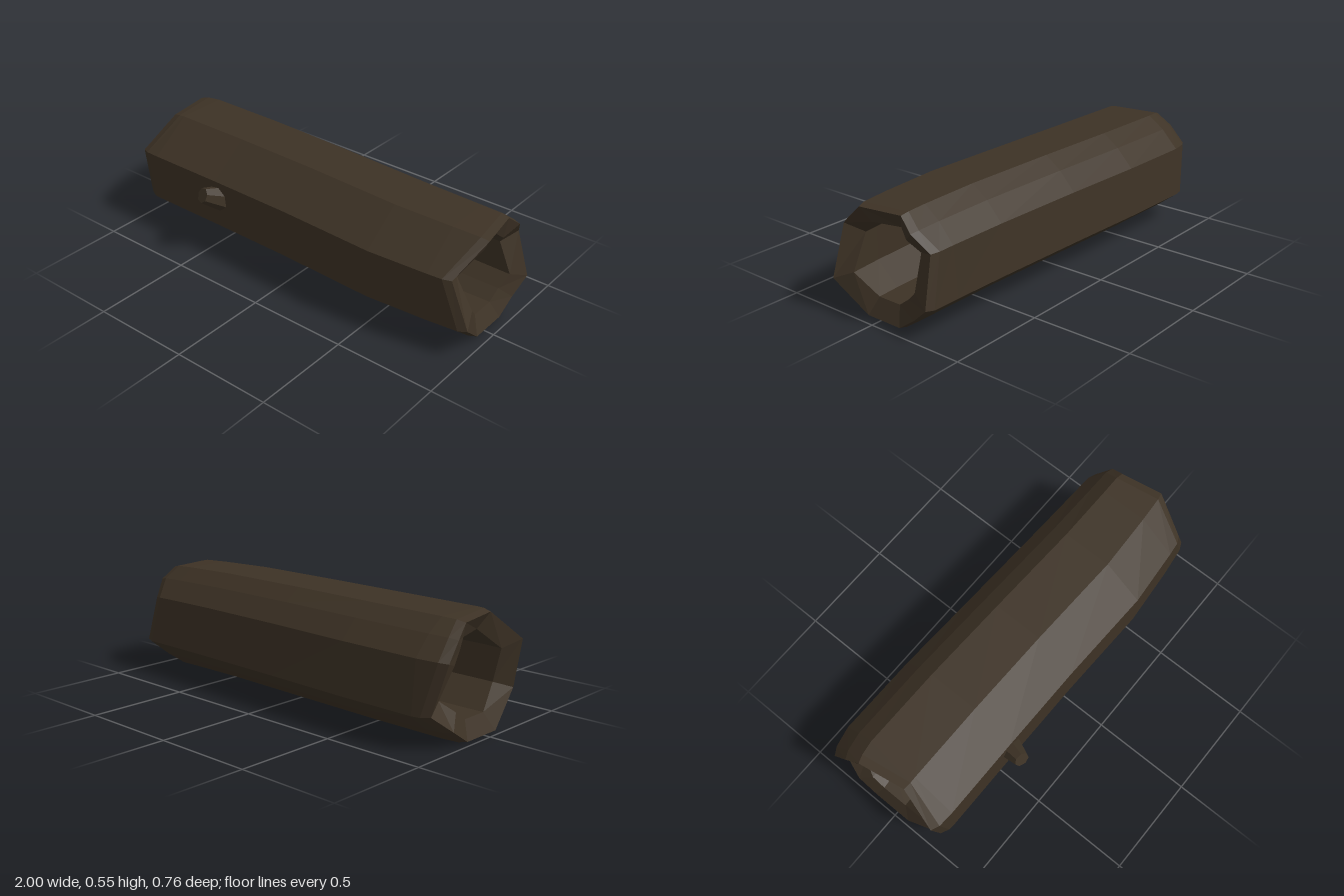
import * as THREE from 'three';

// Cross-section corners: u = across (front +1, back -1), y = height,
// left / right = where the broken ends stop at that corner.
const CORNERS = [
  { u: 0.38, y: 0.55, left: -0.93, right: 0.975 },
  { u: 1.0, y: 0.4, left: -0.98, right: 0.91 },
  { u: 1.0, y: 0.155, left: -0.94, right: 1.0 },
  { u: 0.37, y: 0.0, left: -0.98, right: 0.955 },
  { u: -0.33, y: 0.0, left: -0.98, right: 0.955 },
  { u: -0.67, y: 0.07, left: -0.98, right: 0.96 },
  { u: -1.0, y: 0.155, left: -0.94, right: 0.98 },
  { u: -0.93, y: 0.4, left: -1.0, right: 0.92 },
  { u: -0.67, y: 0.49, left: -0.99, right: 0.96 },
  { u: -0.41, y: 0.55, left: -0.97, right: 0.94 },
];

// Gentle bend and taper along the trunk: x, centre z, half width, height.
const STATIONS = [
  [-1, -0.04, 0.31, 0.54],
  [-0.86, -0.05, 0.33, 0.548],
  [-0.45, -0.047, 0.328, 0.55],
  [0, -0.035, 0.32, 0.55],
  [0.5, -0.0175, 0.3175, 0.546],
  [0.8, -0.025, 0.3, 0.54],
  [1, -0.035, 0.285, 0.533],
];

function stationAt(x) {
  let k = 0;
  while (k < STATIONS.length - 2 && x > STATIONS[k + 1][0]) k++;
  const a = STATIONS[k], b = STATIONS[k + 1];
  const t = THREE.MathUtils.clamp((x - a[0]) / (b[0] - a[0]), 0, 1);
  return a.map((v, i) => THREE.MathUtils.lerp(v, b[i], t));
}

// One point of the shell; kz and ky shrink the section towards its middle.
function shellPoint(corner, x, kz, ky) {
  const [, centre, half, height] = stationAt(x);
  const y = corner.y * (height / 0.55);
  const mid = 0.285;
  return [x, mid + (y - mid) * ky, centre + corner.u * half * kz];
}

// Hollow shell: outer bark, rim, inner wall and the other rim as one closed loop.
function hollowTrunk() {
  const inside = [0.61, 0.67];
  const middle = STATIONS.slice(1, -1).map((s) => s[0]);
  const rings = [
    (c) => shellPoint(c, c.left, 0.95, 0.97),
    (c) => shellPoint(c, c.left + 0.04, 1, 1),
    ...middle.map((x) => (c) => shellPoint(c, x, 1, 1)),
    (c) => shellPoint(c, c.right - 0.04, 1, 1),
    (c) => shellPoint(c, c.right, 0.95, 0.97),
    (c) => shellPoint(c, c.right - 0.04, ...inside),
    ...middle.slice().reverse().map((x) => (c) => shellPoint(c, x, ...inside)),
    (c) => shellPoint(c, c.left + 0.04, ...inside),
  ];
  const n = CORNERS.length, m = rings.length;
  const positions = [], index = [];
  rings.forEach((ring) => CORNERS.forEach((c) => positions.push(...ring(c))));
  for (let r = 0; r < m; r++) {
    for (let i = 0; i < n; i++) {
      const r2 = (r + 1) % m, i2 = (i + 1) % n;
      const a = r * n + i, b = r * n + i2, c = r2 * n + i, d = r2 * n + i2;
      index.push(a, b, c, b, d, c);
    }
  }
  const geometry = new THREE.BufferGeometry();
  geometry.setAttribute('position', new THREE.Float32BufferAttribute(positions, 3));
  geometry.setIndex(index);
  const flat = geometry.toNonIndexed();
  flat.computeVertexNormals();
  return flat;
}

export function createModel() {
  const group = new THREE.Group();
  group.name = 'hollowLog';
  const bark = new THREE.MeshStandardMaterial({ color: 0x3d3225, flatShading: true });
  bark.name = 'dark bark';

  const trunk = new THREE.Mesh(hollowTrunk(), bark);
  trunk.name = 'trunk';
  group.add(trunk);

  // Snapped-off branch on the front
  const base = new THREE.Vector3(-0.43, 0.295, 0.24);
  const tip = new THREE.Vector3(-0.46, 0.353, 0.36);
  const axis = tip.clone().sub(base);
  const stub = new THREE.Mesh(new THREE.CylinderGeometry(0.038, 0.068, axis.length(), 7), bark);
  stub.name = 'branchStub';
  stub.position.copy(base).add(tip).multiplyScalar(0.5);
  stub.quaternion.setFromUnitVectors(new THREE.Vector3(0, 1, 0), axis.normalize());
  group.add(stub);

  return group;
}
